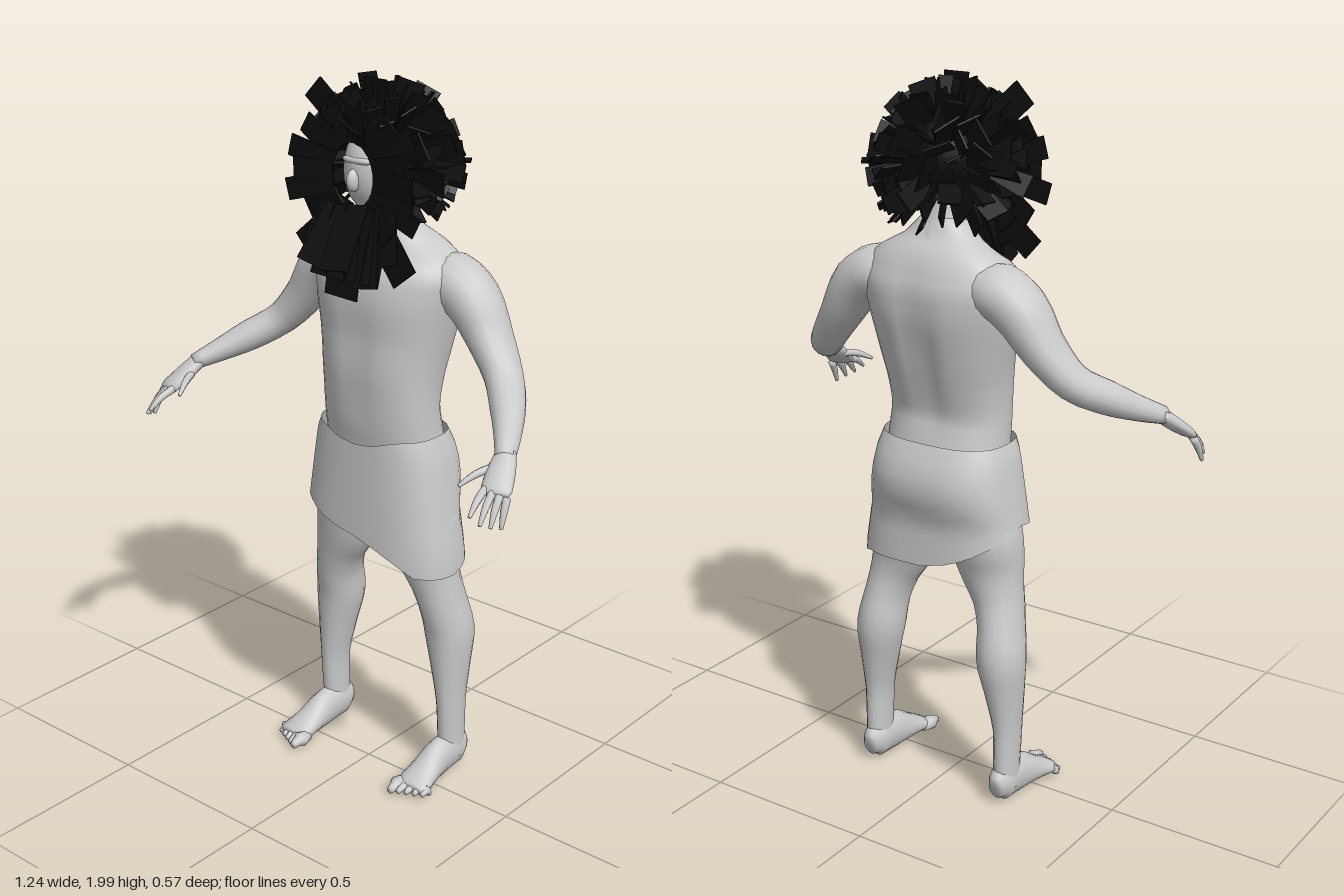
import * as THREE from 'three';
import { mergeGeometries } from 'three/addons/utils/BufferGeometryUtils.js';

const V = (x, y, z) => new THREE.Vector3(x, y, z);
const X = V(1, 0, 0), Y = V(0, 1, 0), Z = V(0, 0, 1);

// Closed skin around smoothed sections [x, y, z, halfWidth, halfDepth].
// ref fixes the ring frame, power < 1 makes rings boxier, shape adjusts points.
function loft(sections, { ref = Z, side = 1, steps = 3, segs = 16, power = 1, shape } = {}) {
  const centres = new THREE.CatmullRomCurve3(sections.map(s => V(s[0] * side, s[1], s[2])));
  const radii = new THREE.CatmullRomCurve3(sections.map(s => V(s[3], s[4], 0)));
  const n = (sections.length - 1) * steps;
  const pos = [], index = [];
  const soft = v => Math.sign(v) * Math.abs(v) ** power;
  const put = p => { if (shape) shape(p); pos.push(p.x, p.y, p.z); };
  for (let i = 0; i <= n; i++) {
    const c = centres.getPoint(i / n), r = radii.getPoint(i / n), t = centres.getTangent(i / n);
    const b = t.clone().cross(ref).normalize(), d = t.clone().cross(b);
    for (let j = 0; j < segs; j++) {
      const a = j / segs * Math.PI * 2;
      put(c.clone().addScaledVector(b, soft(Math.cos(a)) * r.x).addScaledVector(d, soft(Math.sin(a)) * r.y));
      const k = (j + 1) % segs, p = i * segs;
      if (i < n) index.push(p + j, p + k, p + segs + j, p + k, p + segs + k, p + segs + j);
    }
  }
  const first = (n + 1) * segs;
  put(centres.getPoint(0));
  put(centres.getPoint(1));
  for (let j = 0; j < segs; j++) {
    const k = (j + 1) % segs;
    index.push(first, k, j, first + 1, n * segs + j, n * segs + k);
  }
  const g = new THREE.BufferGeometry();
  g.setAttribute('position', new THREE.Float32BufferAttribute(pos, 3));
  g.setIndex(index);
  g.computeVertexNormals();
  return g;
}

// Wrapped cloth: flared open skirt with an uneven hem
function clothGeometry() {
  const hem = [0.64, 0.65, 0.735, 0.785, 0.81, 0.76, 0.69, 0.68, 0.64]; // left, front, right, back
  const segs = 32, rows = 8, pos = [], index = [];
  const soft = v => Math.sign(v) * Math.abs(v) ** 0.75;
  for (let i = 0; i <= rows; i++) {
    for (let j = 0; j < segs; j++) {
      const a = j / segs * Math.PI * 2, k = j / segs * 8, f = Math.floor(k);
      const low = THREE.MathUtils.lerp(hem[f], hem[f + 1], k - f);
      const top = 1.035 - 0.03 * Math.max(0, Math.sin(a)) ** 12;
      const y = THREE.MathUtils.lerp(top, low, i / rows);
      const drop = Math.min(1, (1.035 - y) / 0.35);
      const bulge = Math.sin(Math.min(1, drop * 1.6) * Math.PI) * 0.035;
      const s = Math.sin(a);
      const depth = s > 0 ? 0.125 + 0.012 * drop : 0.125 + 0.02 * drop + bulge;
      pos.push(soft(Math.cos(a)) * (0.185 + 0.065 * Math.sqrt(drop) * (0.6 + 0.4 * drop)), y, -0.065 + soft(s) * depth);
      const n = (j + 1) % segs, p = i * segs;
      if (i < rows) index.push(p + j, p + segs + j, p + n, p + n, p + segs + j, p + segs + n);
    }
  }
  const g = new THREE.BufferGeometry();
  g.setAttribute('position', new THREE.Float32BufferAttribute(pos, 3));
  // rows run downwards, so corners are reversed to face outwards
  g.setIndex(index.map((_, q) => index[q - q % 3 + [0, 2, 1][q % 3]]));
  g.computeVertexNormals();
  return g;
}

// Flat lock of hair from base to tip, lying across the given facing direction
function lock(base, tip, width, facing) {
  const y = tip.clone().sub(base), len = y.length();
  y.normalize();
  const x = y.clone().cross(facing).normalize();
  const g = new THREE.BoxGeometry(width, len, 0.005);
  g.applyMatrix4(new THREE.Matrix4().makeBasis(x, y, x.clone().cross(y)));
  return g.translate(...base.clone().lerp(tip, 0.5).toArray());
}

export function createModel() {
  const model = new THREE.Group();
  model.name = 'wildMan';
  const skin = new THREE.MeshStandardMaterial({ color: 0xcacaca });
  const cloth = new THREE.MeshStandardMaterial({ color: 0xcacaca, side: THREE.DoubleSide });
  const hair = new THREE.MeshStandardMaterial({ color: 0x0e0e0e });
  skin.name = 'skin'; cloth.name = 'cloth'; hair.name = 'blackHair';
  const add = (name, geometry, material = skin) => {
    const m = new THREE.Mesh(geometry, material);
    m.name = name;
    model.add(m);
    return m;
  };

  // Torso rows: y, half width, front z, back z
  const torso = [
    [0.73, 0.06, -0.03, -0.13], [0.8, 0.15, 0.01, -0.19], [0.92, 0.178, 0.04, -0.21], [1.02, 0.175, 0.05, -0.185],
    [1.1, 0.173, 0.06, -0.17], [1.2, 0.178, 0.068, -0.19], [1.3, 0.195, 0.063, -0.215], [1.4, 0.215, 0.062, -0.235],
    [1.47, 0.225, 0.045, -0.235], [1.53, 0.195, 0.01, -0.205], [1.58, 0.11, -0.02, -0.16], [1.63, 0.06, -0.03, -0.135],
  ].map(([y, w, f, b]) => [0, y, (f + b) / 2, w, (f - b) / 2]);
  add('torso', loft(torso, {
    segs: 32, power: 0.85,
    shape: p => { // spine and chest grooves
      if (p.y < 1.05 || p.y > 1.54) return;
      const groove = Math.exp(-((p.x / 0.035) ** 2)) * Math.sin((p.y - 1.05) / 0.49 * Math.PI);
      p.z += p.z < -0.08 ? 0.022 * groove : -0.01 * groove;
    },
  }));
  add('neck', loft([[0, 1.54, -0.11, 0.08, 0.07], [0, 1.62, -0.08, 0.062, 0.06], [0, 1.7, -0.06, 0.06, 0.06]]));

  // Head with nose and brow
  const ball = (name, x, y, z, rx, ry, rz, mat) =>
    add(name, new THREE.SphereGeometry(1, 20, 14).scale(rx, ry, rz).translate(x, y, z), mat);
  ball('head', 0, 1.755, -0.035, 0.082, 0.125, 0.1);
  ball('nose', 0, 1.735, 0.063, 0.016, 0.03, 0.022);
  ball('brow', 0, 1.785, 0.047, 0.048, 0.012, 0.017);
  ball('scalp', 0, 1.79, -0.085, 0.1, 0.115, 0.1, hair);

  // Limbs
  for (const side of [1, -1]) {
    const label = side > 0 ? 'left' : 'right';
    add(label + 'Arm', loft([
      [0.13, 1.46, -0.12, 0.06, 0.07], [0.19, 1.465, -0.12, 0.075, 0.085], [0.255, 1.425, -0.118, 0.073, 0.082],
      [0.32, 1.335, -0.11, 0.057, 0.07], [0.39, 1.25, -0.08, 0.047, 0.056], [0.455, 1.2, -0.01, 0.044, 0.048],
      [0.51, 1.16, 0.065, 0.032, 0.036], [0.548, 1.133, 0.125, 0.022, 0.027],
    ], { side }));
    add(label + 'Palm', loft([
      [0.54, 1.14, 0.11, 0.027, 0.02], [0.558, 1.105, 0.155, 0.038, 0.02],
      [0.575, 1.075, 0.195, 0.04, 0.016], [0.58, 1.065, 0.207, 0.034, 0.01],
    ], { side, ref: Y, segs: 12 }));
    const fingers = [
      [[0.55, 1.075, 0.208], [0.563, 1.03, 0.288]], [[0.571, 1.07, 0.206], [0.587, 1.01, 0.278]],
      [[0.589, 1.065, 0.2], [0.603, 1.0, 0.255]], [[0.604, 1.06, 0.19], [0.614, 0.99, 0.225]],
      [[0.532, 1.11, 0.15], [0.492, 1.078, 0.24]],
    ];
    fingers.forEach(([a, b], i) => {
      const mid = a.map((v, k) => (v + b[k]) / 2 + (k === 1 ? 0.007 : 0));
      add(label + (i < 4 ? 'Finger' : 'Thumb'), loft(
        [[...a, 0.011, 0.012], [...mid, 0.01, 0.01], [...b, 0.005, 0.005]], { side, ref: Y, segs: 8 }));
    });
    add(label + 'Leg', loft([
      [0.1, 0.92, -0.08, 0.08, 0.1], [0.128, 0.78, -0.085, 0.106, 0.1], [0.146, 0.68, -0.078, 0.096, 0.082],
      [0.176, 0.59, -0.085, 0.07, 0.074], [0.193, 0.52, -0.098, 0.063, 0.076], [0.203, 0.44, -0.114, 0.067, 0.077],
      [0.212, 0.34, -0.11, 0.053, 0.066], [0.22, 0.22, -0.105, 0.035, 0.053], [0.22, 0.12, -0.108, 0.032, 0.05],
      [0.22, 0.04, -0.11, 0.033, 0.045],
    ], { side }));
    add(label + 'Foot', loft([
      [0.218, 0.045, -0.163, 0.02, 0.03], [0.218, 0.055, -0.135, 0.035, 0.055], [0.218, 0.055, -0.06, 0.038, 0.058],
      [0.221, 0.035, 0.02, 0.046, 0.036], [0.225, 0.022, 0.07, 0.052, 0.022], [0.226, 0.018, 0.09, 0.042, 0.014],
    ], { side, ref: Y, shape: p => { p.y = Math.max(0, p.y); } }));
    for (let i = 0; i < 5; i++) {
      const x = 0.186 + i * 0.021, r = i ? 0.0105 : 0.015, z = 0.13 - i * 0.01;
      add(label + 'Toe', loft([[x, 0.018, 0.06, r, r], [x, 0.018, z - 0.02, r, r], [x, 0.012, z, r * 0.6, r * 0.7]],
        { side, ref: Y, segs: 8 }));
    }
  }

  add('loincloth', clothGeometry(), cloth);

  // Wild hair: seeded locks radiating from the scalp, leaving the face and neck open
  let seed = 7;
  const rand = () => (seed = (seed * 16807) % 2147483647) / 2147483647;
  const locks = [], centre = V(0, 1.77, -0.06);
  for (let i = 0; i < 190; i++) {
    const y = 1 - 2 * (i + 0.5) / 190, a = i * 2.39996, r = Math.sqrt(1 - y * y);
    const d = V(r * Math.cos(a), y, r * Math.sin(a));
    if (d.y < -0.72 || (d.z > 0.45 && d.y < 0.6)) continue;
    const len = 0.185 + rand() * 0.045;
    const facing = V(rand() - 0.5, rand() - 0.5, rand() - 0.5).addScaledVector(X, 0.2);
    locks.push(lock(centre.clone().addScaledVector(d, 0.06), centre.clone().addScaledVector(d, len), 0.04 + rand() * 0.035, facing));
  }
  // Ring of locks framing the face
  for (let i = 0; i < 22; i++) {
    const a = i / 22 * Math.PI * 2, c = Math.cos(a), s = Math.sin(a), out = 0.185 + rand() * 0.04;
    locks.push(lock(V(c * 0.068 - 0.008, 1.745 + s * 0.085, 0.055), V(c * out, 1.745 + s * out, 0.02 + rand() * 0.08), 0.06, Z));
  }
  // Crown tufts and beard: base, tip, width
  const tufts = [
    [[0.02, 1.84, -0.02], [0.02, 1.99, 0.0], 0.075], [[-0.06, 1.84, 0], [-0.175, 1.95, 0.02], 0.075],
    [[0, 1.83, 0.03], [0.03, 1.89, 0.12], 0.08], [[-0.02, 1.66, 0.05], [-0.03, 1.42, 0.08], 0.11],
    [[-0.05, 1.65, 0.05], [-0.18, 1.535, 0.06], 0.07], [[0.05, 1.65, 0.05], [0.17, 1.5, 0.06], 0.09],
    [[0.04, 1.66, 0.06], [0.075, 1.47, 0.11], 0.09], [[-0.05, 1.66, 0.06], [-0.08, 1.52, 0.15], 0.08],
    [[0, 1.67, 0.06], [0.02, 1.52, 0.165], 0.1], [[0.07, 1.68, 0.03], [0.12, 1.53, 0.08], 0.09],
    [[-0.07, 1.68, 0.03], [-0.12, 1.55, 0.07], 0.09],
  ];
  for (const [b, t, w] of tufts) locks.push(lock(V(...b), V(...t), w, Z));
  // Side planes give the beard depth
  for (const x of [-0.06, -0.02, 0.03, 0.07])
    locks.push(lock(V(x, 1.66, 0.03), V(x * 1.3, 1.48, 0.11), 0.075, X));
  add('hairAndBeard', mergeGeometries(locks), hair);

  return model;
}
